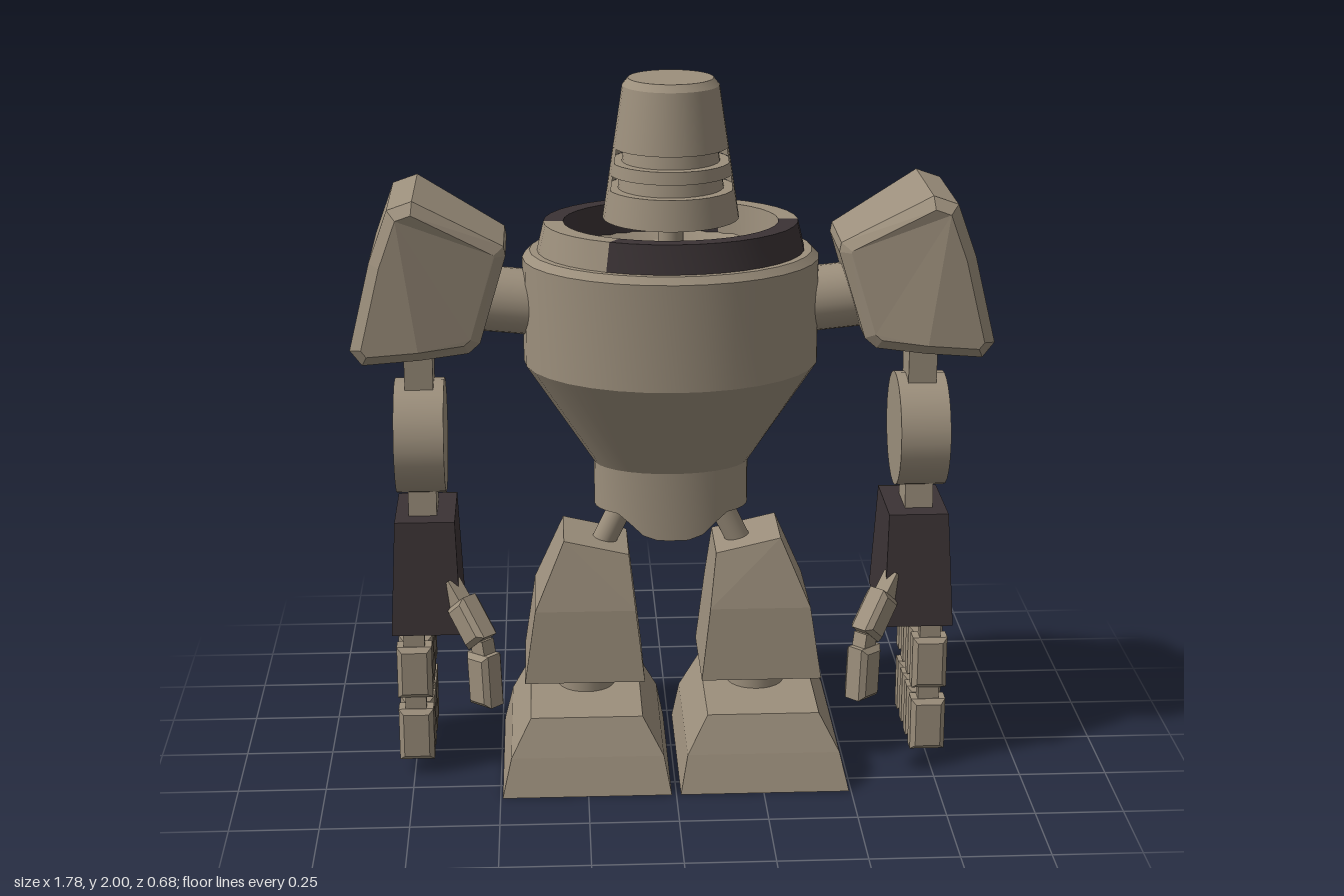
import * as THREE from 'three';
import { toCreasedNormals } from 'three/addons/utils/BufferGeometryUtils.js';

const tan = new THREE.MeshStandardMaterial({ color: 0x9c8f7c });
tan.name = 'tan armour';
const dark = new THREE.MeshStandardMaterial({ color: 0x3b3335 });
dark.name = 'dark armour';
const tanSheet = tan.clone();
tanSheet.name = 'tan armour sheet';
tanSheet.side = THREE.DoubleSide;

const clamp01 = (t) => THREE.MathUtils.clamp(t, 0, 1);

function add(parent, name, geometry, material = tan) {
  const mesh = new THREE.Mesh(geometry, material);
  mesh.name = name;
  parent.add(mesh);
  return mesh;
}

// Moves every vertex by a rule
function warp(geometry, rule) {
  const p = geometry.attributes.position;
  const v = new THREE.Vector3();
  for (let i = 0; i < p.count; i++) {
    rule(v.fromBufferAttribute(p, i));
    p.setXYZ(i, v.x, v.y, v.z);
  }
  geometry.computeVertexNormals();
  return geometry;
}

function lathe(points, start = 0, length = Math.PI * 2, segments = 32) {
  return new THREE.LatheGeometry(points.map(([r, y]) => new THREE.Vector2(r, y)), segments, start, length);
}

// Faceted solid through rectangles [x0, x1, z0, z1, y at x0, y at x1], bottom to top
function loft(sections) {
  const rings = sections.map(([x0, x1, z0, z1, ya, yb = ya]) =>
    [[x0, ya, z1], [x1, yb, z1], [x1, yb, z0], [x0, ya, z0]]);
  const out = [];
  const quad = (a, b, c, d) => out.push(...a, ...b, ...c, ...a, ...c, ...d);
  for (let i = 0; i + 1 < rings.length; i++) {
    for (let j = 0; j < 4; j++) {
      const k = (j + 1) % 4;
      quad(rings[i][j], rings[i][k], rings[i + 1][k], rings[i + 1][j]);
    }
  }
  const top = rings[rings.length - 1];
  quad(top[0], top[1], top[2], top[3]);
  quad(rings[0][3], rings[0][2], rings[0][1], rings[0][0]);
  const g = new THREE.BufferGeometry();
  g.setAttribute('position', new THREE.Float32BufferAttribute(out, 3));
  g.computeVertexNormals();
  return g;
}

// Outline extruded along z, centred, with chamfered edges inside the outline
function chamfered(points, depth, c) {
  const shape = new THREE.Shape(points.map(([x, y]) => new THREE.Vector2(x, y)));
  return new THREE.ExtrudeGeometry(shape, {
    depth: depth - 2 * c, bevelEnabled: true, bevelSegments: 1,
    bevelSize: c, bevelOffset: -c, bevelThickness: c,
  }).translate(0, 0, c - depth / 2);
}

function block(w, h, d, c = 0.014) {
  const x = w / 2, y = h / 2;
  return chamfered([[-x, -y], [x, -y], [x, y], [-x, y]], d, c);
}

// Round rod between two points
function rod(a, b, ra, rb = ra) {
  const from = new THREE.Vector3(...a), dir = new THREE.Vector3(...b).sub(from);
  const g = new THREE.CylinderGeometry(rb, ra, dir.length(), 24);
  g.applyQuaternion(new THREE.Quaternion().setFromUnitVectors(new THREE.Vector3(0, 1, 0), dir.clone().normalize()));
  return g.translate(...from.addScaledVector(dir, 0.5).toArray());
}

function createTorso() {
  const torso = new THREE.Group();
  torso.name = 'torso';
  // Oval body that narrows and flattens to the waist, with a notched lower edge
  const body = warp(lathe([[0, 0.7], [0.22, 0.7], [0.22, 0.9], [0.415, 1.2], [0.415, 1.5],
    [0.395, 1.52], [0.3, 1.52], [0.27, 1.49], [0.15, 1.46], [0, 1.46]]), (v) => {
    v.z *= 0.64 + 0.18 * clamp01((v.y - 0.9) / 0.3);
    if (v.y < 0.75) v.y += 0.07 * clamp01((Math.abs(v.x) - 0.07) / 0.08);
  });
  add(torso, 'body', toCreasedNormals(body, 0.5));
  // Collar in alternating long dark and short tan pieces
  const deg = Math.PI / 180;
  const rim = [[0.375, 1.515], [0.355, 1.6], [0.3, 1.6], [0.29, 1.49]];
  for (const [start, length, mat] of [[-30, 120, dark], [90, 60, tan], [150, 120, dark], [270, 60, tan]]) {
    const g = lathe(rim, start * deg, length * deg, length / 10).scale(1, 1, 0.82);
    add(torso, 'collarPiece', toCreasedNormals(g, 0.5), mat);
  }
  return torso;
}

function createHead() {
  const head = new THREE.Group();
  head.name = 'head';
  const radius = (y) => 0.19 - (y - 1.61) * 0.15;
  const slice = (name, y0, y1) =>
    add(head, name, new THREE.CylinderGeometry(radius(y1), radius(y0), y1 - y0, 32).translate(0, (y0 + y1) / 2, 0));
  slice('jaw', 1.61, 1.695);
  slice('visorBar', 1.735, 1.77);
  slice('dome', 1.81, 1.98);
  add(head, 'domeCap', toCreasedNormals(lathe([[radius(1.98), 1.98], [0.118, 2], [0, 2]]), 0.5));
  // Two slots cut into the front of the face
  for (const [y0, y1] of [[1.695, 1.735], [1.77, 1.81]]) {
    add(head, 'slotFloor', lathe([[radius(y0) - 0.03, y0], [radius(y1) - 0.03, y1]]));
    add(head, 'slotBack', lathe([[radius(y0), y0], [radius(y1), y1]], 1.25, Math.PI * 2 - 2.5), tanSheet);
  }
  add(head, 'neck', new THREE.CylinderGeometry(0.035, 0.035, 0.17, 16).translate(0, 1.535, 0));
  return head;
}

function createArm() {
  const arm = new THREE.Group();
  arm.name = 'arm';
  add(arm, 'shoulderAxle', rod([0.3, 1.36, 0], [0.6, 1.39, 0], 0.092));
  // Shoulder guard, shallower towards the body
  const guard = chamfered([[0.89, 1.284], [0.83, 1.53], [0.777, 1.676], [0.708, 1.7], [0.464, 1.56],
    [0.459, 1.533], [0.533, 1.29], [0.565, 1.263], [0.7, 1.253], [0.857, 1.241]], 0.41, 0.03);
  add(arm, 'shoulderGuard', warp(guard, (v) => { v.z *= 0.7 + 0.3 * clamp01((v.x - 0.46) / 0.24); }));
  add(arm, 'armBar', loft([[0.67, 0.75, -0.065, 0.065, 0.74], [0.67, 0.75, -0.055, 0.055, 0.98],
    [0.67, 0.75, -0.065, 0.065, 1.26]]));
  add(arm, 'elbow', rod([0.641, 0.982, 0], [0.781, 0.982, 0], 0.164));
  add(arm, 'forearm', loft([[0.605, 0.803, -0.186, 0.167, 0.435], [0.618, 0.788, -0.133, 0.122, 0.76]]), dark);
  // Tan corner on the back of the forearm
  const corner = new THREE.BufferGeometry();
  corner.setAttribute('position', new THREE.Float32BufferAttribute(
    [0.618, 0.76, -0.136, 0.775, 0.76, -0.136, 0.609, 0.53, -0.1735], 3));
  corner.computeVertexNormals();
  add(arm, 'forearmCorner', corner, tanSheet);
  // Four fingers of two segments
  for (const z of [0.127, 0.032, -0.061, -0.154]) {
    for (const [y, h, knuckleY] of [[0.315, 0.155, 0.41], [0.122, 0.157, 0.22]]) {
      add(arm, 'fingerSegment', block(0.1, h, 0.075)).position.set(0.742, y, z);
      add(arm, 'knuckle', new THREE.BoxGeometry(0.06, 0.06, 0.042)).position.set(0.742, knuckleY, z);
    }
  }
  // Thumb reaching forwards and inwards
  const thumb = new THREE.Group();
  thumb.name = 'thumb';
  thumb.position.set(0.62, 0, 0.14);
  thumb.rotation.y = -Math.PI * 0.75;
  const part = (name, g, x, y, tilt) => {
    const m = add(thumb, name, g);
    m.position.set(x, y, 0);
    m.rotation.z = tilt;
  };
  part('thumbRoot', new THREE.BoxGeometry(0.05, 0.1, 0.045), 0.01, 0.54, 0.75);
  part('thumbUpper', block(0.085, 0.13, 0.075), 0.065, 0.483, 0.7);
  part('thumbKnuckle', new THREE.BoxGeometry(0.05, 0.06, 0.045), 0.11, 0.41, 0.2);
  part('thumbTip', block(0.085, 0.155, 0.075), 0.115, 0.325, 0.06);
  arm.add(thumb);
  return arm;
}

function createLeg() {
  const leg = new THREE.Group();
  leg.name = 'leg';
  add(leg, 'hipStrut', rod([0.09, 0.87, 0], [0.23, 0.58, 0], 0.035));
  add(leg, 'shin', loft([[0.082, 0.427, -0.165, 0.16, 0.276], [0.107, 0.395, -0.15, 0.145, 0.49],
    [0.125, 0.31, -0.11, 0.105, 0.647, 0.69]]));
  add(leg, 'ankle', rod([0.248, 0.19, 0], [0.248, 0.3, 0], 0.083));
  add(leg, 'foot', loft([[0.013, 0.494, -0.217, 0.334, 0], [0.034, 0.468, -0.205, 0.302, 0.108],
    [0.093, 0.411, -0.188, 0.262, 0.214]]));
  return leg;
}

export function createModel() {
  const model = new THREE.Group();
  model.name = 'robot';
  model.add(createTorso(), createHead());
  for (const side of [1, -1]) {
    const limbs = new THREE.Group();
    limbs.name = side > 0 ? 'leftLimbs' : 'rightLimbs';
    limbs.add(createArm(), createLeg());
    limbs.scale.x = side;
    model.add(limbs);
  }
  return model;
}
